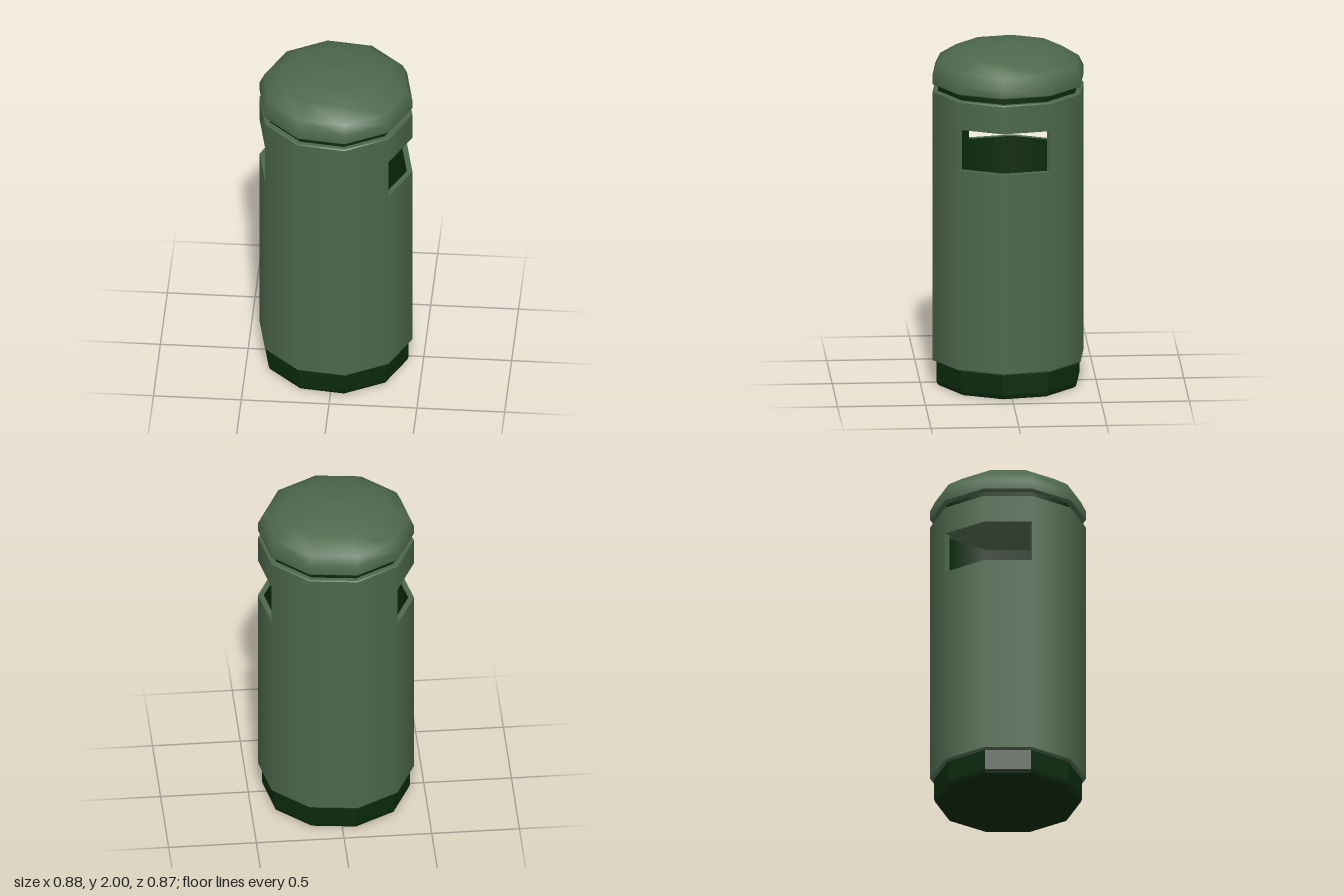
import * as THREE from 'three';
import { mergeGeometries } from 'three/addons/utils/BufferGeometryUtils.js';

const SIDES = 10, STEP = (Math.PI * 2) / SIDES;
const START = THREE.MathUtils.degToRad(11); // turn of the ten-sided plan
const R = 0.443, INNER = 0.41;              // outer and liner radii
const BOTTOM = 0.15, TOP = 1.735, SLOT_LOW = 1.33, SLOT_HIGH = 1.57, LID = 1.772;

const corner = (k) => START + k * STEP;

// Smooth lathe through the points, from plan corner k over n sides
function sweep(points, k = 0, n = SIDES) {
  return new THREE.LatheGeometry(points.map(([r, y]) => new THREE.Vector2(r, y)), n, corner(k), n * STEP);
}

// Same sweep, but with a crisp edge at every profile point
function crisp(points, k = 0, n = SIDES) {
  return mergeGeometries(points.slice(1).map((p, i) => sweep([points[i], p], k, n)));
}

export function createModel() {
  const group = new THREE.Group();
  const green = new THREE.MeshStandardMaterial({ color: 0x4c684b });
  const greenThin = new THREE.MeshStandardMaterial({ color: 0x4c684b, side: THREE.DoubleSide });
  const dark = new THREE.MeshStandardMaterial({ color: 0x0a2a0c, flatShading: true });
  const darkThin = new THREE.MeshStandardMaterial({ color: 0x0a2a0c, side: THREE.DoubleSide });

  const add = (name, geometry, material) => {
    const mesh = new THREE.Mesh(geometry, material);
    mesh.name = name;
    group.add(mesh);
  };

  // Plinth with a small bevel at the ground
  add('base', crisp([[0, 0], [0.4, 0], [0.413, 0.01], [0.42, 0.03], [0.42, BOTTOM + 0.01]]), dark);

  // Slots span two sides from corners 1 and 6; the walls between span three
  const slots = [1, 6], walls = [3, 8];

  // Outer shell: full bands below and above the slots, piers between them
  const shell = [
    crisp([[INNER, BOTTOM], [0.436, BOTTOM], [R, BOTTOM + 0.008], [R, SLOT_LOW]]),
    crisp([[R, SLOT_HIGH], [R, TOP - 0.006], [R - 0.006, TOP], [INNER, TOP]]),
    ...walls.map((k) => sweep([[R, SLOT_LOW], [R, SLOT_HIGH]], k, 3)),
    // Sill and head of each slot
    ...slots.flatMap((k) => [
      sweep([[R, SLOT_LOW], [INNER, SLOT_LOW]], k, 2),
      sweep([[INNER, SLOT_HIGH], [R, SLOT_HIGH]], k, 2),
    ]),
  ];
  add('body', mergeGeometries(shell), green);

  // Upright cheeks at the ends of the slots
  const cheeks = slots.flatMap((k) => [k, k + 2]).map((k) =>
    new THREE.PlaneGeometry(R - INNER, SLOT_HIGH - SLOT_LOW)
      .translate((R + INNER) / 2, (SLOT_LOW + SLOT_HIGH) / 2, 0)
      .rotateY(corner(k) - Math.PI / 2));
  add('slotCheeks', mergeGeometries(cheeks), greenThin);

  // Dark liner, which also shows as the neck under the lid
  const liner = [
    crisp([[0, 0.04], [INNER, 0.04], [INNER, SLOT_LOW]]),
    sweep([[INNER, SLOT_HIGH], [INNER, LID]]),
    ...walls.map((k) => sweep([[INNER, SLOT_LOW], [INNER, SLOT_HIGH]], k, 3)),
  ];
  add('liner', mergeGeometries(liner), darkThin);

  // Domed lid with a flat underside
  const dome = [[R, LID + 0.006], [R, 1.83], [0.415, 1.888], [0.317, 1.95], [0.167, 1.988], [0, 2]];
  const lid = [crisp([[0, LID], [R - 0.006, LID], [R, LID + 0.006]]), sweep(dome)];
  add('lid', mergeGeometries(lid), green);

  return group;
}
